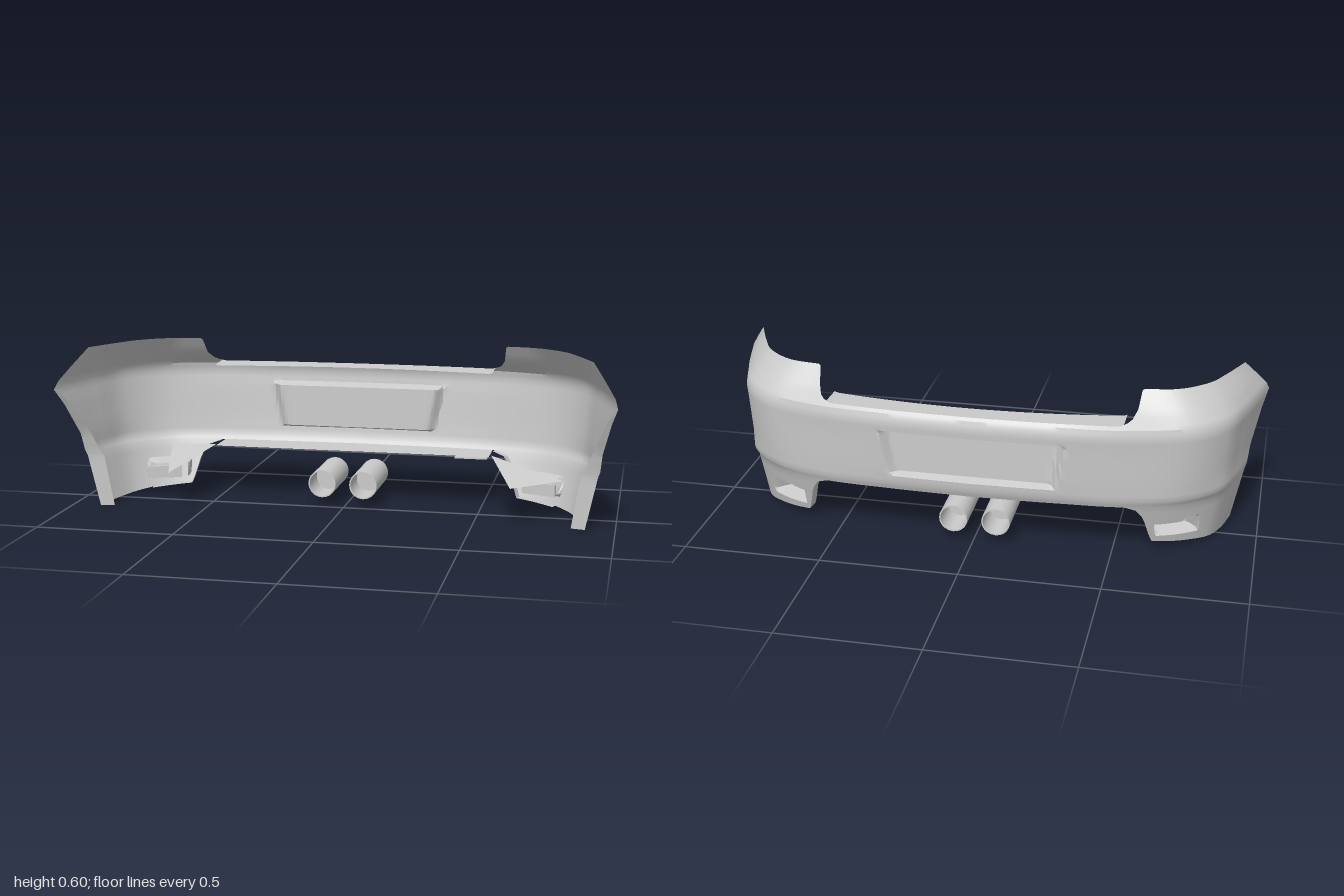
import * as THREE from 'three';
import { toCreasedNormals } from 'three/addons/utils/BufferGeometryUtils.js';

const material = new THREE.MeshStandardMaterial({ color: 0xcccccc, side: THREE.DoubleSide });
const clamp = THREE.MathUtils.clamp, lerp = THREE.MathUtils.lerp;

// Half plan section at height y: z near the middle, then x, z pairs out to the wheel arch
function section(y, zMid, ...pairs) {
  const pts = [new THREE.Vector3(0, y, zMid - .009), new THREE.Vector3(.3, y, zMid)];
  for (let i = 0; i < pairs.length; i += 2) pts.push(new THREE.Vector3(pairs[i], y, pairs[i + 1]));
  return { y, curve: new THREE.CatmullRomCurve3(pts) };
}
const sill = section(.19, -.264, .56, -.243, .74, -.182, .852, -.082, .903, .04, .935, .16);
const waist = section(.46, -.295, .57, -.268, .77, -.2, .88, -.09, .935, .06, 1, .305);
const levels = [
  section(0, -.2, .57, -.18, .72, -.135, .82, -.06, .865, .03, .895, .146),
  sill,
  section(.215, -.275, .57, -.252, .75, -.192, .866, -.086, .912, .04, .943, .167),
  section(.28, -.282, .57, -.257, .76, -.193, .867, -.086, .915, .05, .95, .187),
  section(.4, -.29, .57, -.263, .767, -.198, .876, -.088, .928, .06, .98, .26),
  waist,
  section(.49, -.286, .565, -.262, .76, -.195, .873, -.088, .93, .06, .99, .28),
  section(.54, -.235, .57, -.188, .74, -.155, .84, -.07, .9, .055, .955, .237),
  section(.6, -.18, .57, -.145, .7, -.12, .8, -.04, .85, .05, .91, .185),
];

// Piecewise linear function through [x, y] stops
function ramp(stops, x) {
  for (let i = 1; i < stops.length; i++) {
    const [a, b] = [stops[i - 1], stops[i]];
    if (x <= b[0]) return lerp(a[1], b[1], clamp((x - a[0]) / (b[0] - a[0]), 0, 1));
  }
  return stops[stops.length - 1][1];
}
const bottomStops = [[.54, .19], [.58, .175], [.605, .14], [.62, .08], [.635, .032], [.8, .02], [.935, 0]];
const topStops = [[.52, .5], [.555, .512], [.57, .54], [.582, .6]];
const bottomY = u => ramp(bottomStops, sill.curve.getPoint(Math.abs(u)).x);
const topY = u => ramp(topStops, waist.curve.getPoint(Math.abs(u)).x);

// Smooth outer surface at u (-1 right arch, +1 left arch) and height y
function skinPoint(u, y) {
  let i = 1;
  while (i < levels.length - 1 && y > levels[i].y) i++;
  const a = levels[i - 1], b = levels[i], s = Math.abs(u);
  const p = a.curve.getPoint(s).lerp(b.curve.getPoint(s), (y - a.y) / (b.y - a.y));
  // number plate recess
  const plate = Math.min(clamp((lerp(.3, .333, (y - .25) / .17) - p.x) / .025, 0, 1),
    clamp((y - .247) / .01, 0, 1), clamp((.424 - y) / .012, 0, 1));
  p.z = lerp(p.z, -.25, plate);
  // corner vents
  const vent = Math.min(clamp((p.x - .645) / .02, 0, 1), clamp((.795 - p.x) / .02, 0, 1),
    clamp((y - .055) / .012, 0, 1), clamp((.13 - y) / .012, 0, 1));
  p.z += .06 * vent;
  p.x -= .03 * vent;
  if (u < 0) p.x = -p.x;
  return p;
}

// Surface from a grid of points, leaving out collapsed triangles
function gridMesh(name, grid) {
  const pos = [], tri = new THREE.Triangle();
  const add = (a, b, c) => {
    if (tri.set(a, b, c).getArea() > 1e-8) for (const p of [a, b, c]) pos.push(p.x, p.y, p.z);
  };
  for (let i = 0; i < grid.length - 1; i++) for (let j = 0; j < grid[i].length - 1; j++) {
    const a = grid[i][j], b = grid[i + 1][j], c = grid[i + 1][j + 1], d = grid[i][j + 1];
    add(a, d, c);
    add(a, c, b);
  }
  const geo = new THREE.BufferGeometry();
  geo.setAttribute('position', new THREE.Float32BufferAttribute(pos, 3));
  const mesh = new THREE.Mesh(toCreasedNormals(geo, 0.5), material);
  mesh.name = name;
  return mesh;
}

export function createModel() {
  const group = new THREE.Group();
  group.name = 'rearBumper';
  const V = (x, y, z) => new THREE.Vector3(x, y, z);

  // Main skin with the plate recess and vents pressed in
  const half = 120, us = [];
  for (let i = -half; i <= half; i++) us.push(i / half);
  const rows = [0, .03, .055, .067, .09, .118, .13, .16, .19, .2, .215, .235, .247, .257, .28, .32, .36,
    .4, .412, .424, .44, .46, .475, .49, .5, .52, .54, .57, .6];
  group.add(gridMesh('bumperSkin', us.map(u => {
    const lo = bottomY(u), hi = topY(u);
    return rows.map(y => skinPoint(u, clamp(y, lo, hi)));
  })));

  // Ledge along the top and flange under the centre
  const middle = us.filter(u => Math.abs(skinPoint(u, .46).x) < .54);
  group.add(gridMesh('topLedge', middle.map(u => {
    const p = skinPoint(u, topY(u));
    return [p, V(p.x, p.y - .004, -.195 + .05 * (p.x / .54) ** 2)];
  })));
  group.add(gridMesh('lowerFlange', middle.map(u => {
    const p = skinPoint(u, bottomY(u));
    return [V(p.x, p.y, -.12), p];
  })));
  const tab = new THREE.Mesh(new THREE.BoxGeometry(.12, .006, .03), material);
  tab.name = 'flangeTab';
  tab.position.set(.46, .187, -.115);
  group.add(tab);

  for (const side of [-1, 1]) {
    const label = side > 0 ? 'left' : 'right';
    // Return lip round the wheel arch
    group.add(gridMesh(label + 'ArchLip', rows.filter(y => y <= .46).map(y => {
      const p = skinPoint(side, y), w = ramp([[0, .05], [.19, .06], [.3, .03], [.46, .01]], y);
      return [p, V(p.x - side * w, p.y, p.z - .012)];
    })));
    // Return rim on the inner edge of the lower corner
    const rim = us.filter(u => {
      const x = skinPoint(u, .19).x * side;
      return x > .53 && x < .8;
    });
    group.add(gridMesh(label + 'CornerRim', rim.map(u => {
      const p = skinPoint(u, bottomY(u));
      return [p, V(p.x - side * .008, p.y + .004, p.z + .04)];
    })));
    // Loose triangular splash panel
    const outer = side > 0 ? V(.81, .15, .05) : V(-.7, .19, -.13);
    const tip = V(side * .63, .135, .145);
    group.add(gridMesh(label + 'SplashPanel', [[V(side * .53, .19, -.15), tip], [outer, tip]]));
    // Mounting bar behind the vent
    const bar = new THREE.Mesh(new THREE.BoxGeometry(.13, .045, .012), material);
    bar.name = label + 'VentBar';
    bar.position.set(side * .715, .09, -.07);
    bar.rotation.y = -side * .35;
    group.add(bar);
  }

  // Twin exhaust pipes with an inner wall and a baffle
  for (const x of [-.083, .072]) {
    const profile = [[0, 0], [.047, 0], [.047, -.12], [.052, -.12], [.052, .12], [.047, .12], [.047, 0]];
    const geo = new THREE.LatheGeometry(profile.map(p => new THREE.Vector2(...p)), 20);
    const pipe = new THREE.Mesh(toCreasedNormals(geo, 0.6), material);
    pipe.name = 'exhaustPipe';
    pipe.rotation.x = Math.PI / 2;
    pipe.position.set(x, .085, -.13);
    group.add(pipe);
  }
  return group;
}
